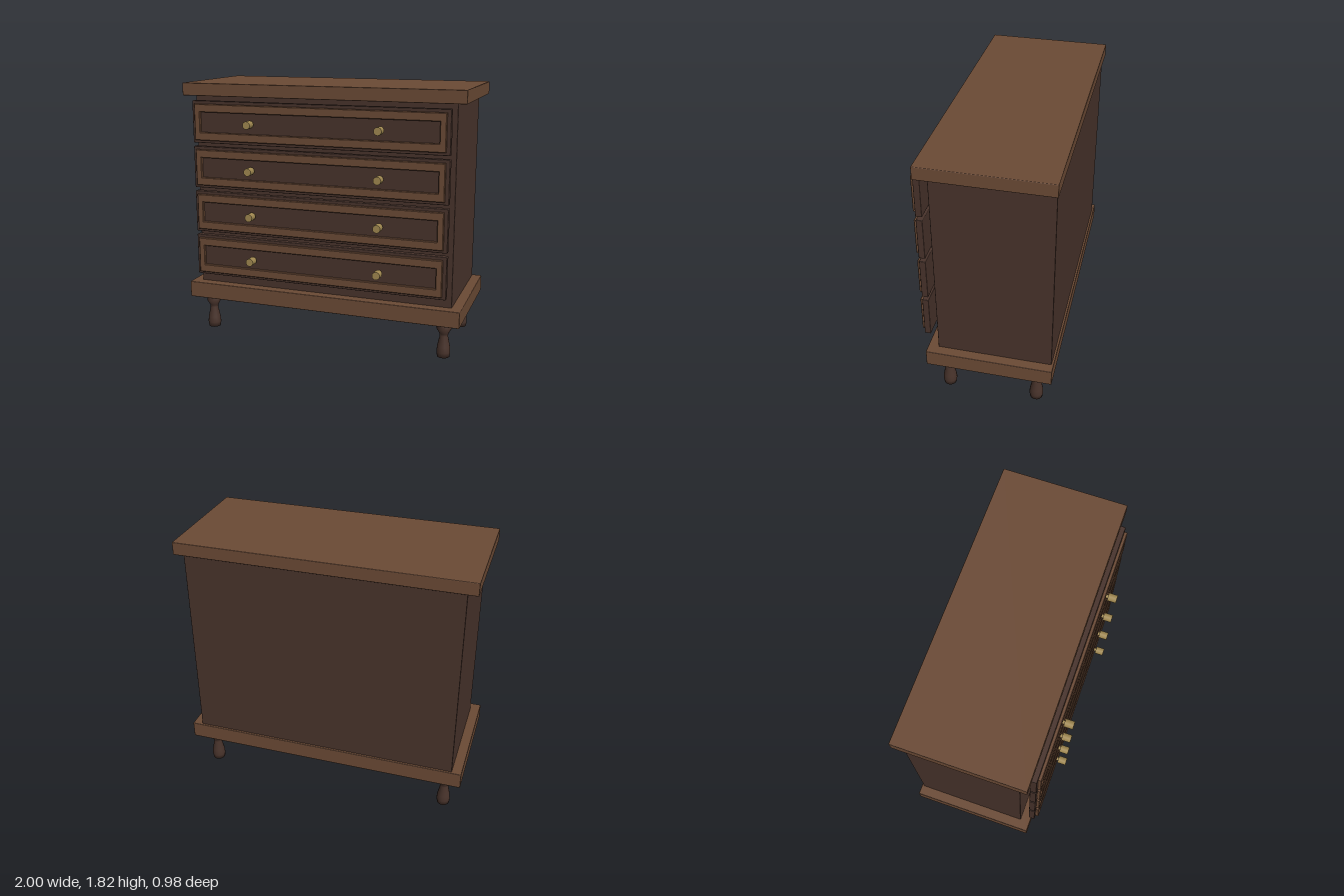
import * as THREE from 'three';
import { RoundedBoxGeometry } from 'three/addons/geometries/RoundedBoxGeometry.js';

const lightWood = new THREE.MeshStandardMaterial({ color: 0x6b4a35 });
const darkWood = new THREE.MeshStandardMaterial({ color: 0x48332b });
const brass = new THREE.MeshStandardMaterial({ color: 0xa08850 });

function add(parent, name, geometry, material, x = 0, y = 0, z = 0) {
  const mesh = new THREE.Mesh(geometry, material);
  mesh.name = name;
  mesh.position.set(x, y, z);
  parent.add(mesh);
  return mesh;
}

// Box given by half width and its y and z ranges, with slightly eased edges
function slab(parent, name, material, halfX, y0, y1, z0, z1) {
  const geometry = new RoundedBoxGeometry(2 * halfX, y1 - y0, z1 - z0, 2, 0.005);
  return add(parent, name, geometry, material, 0, (y0 + y1) / 2, (z0 + z1) / 2);
}

function rectangle(path, w, h) {
  path.moveTo(-w, -h);
  path.lineTo(w, -h);
  path.lineTo(w, h);
  path.lineTo(-w, h);
  path.closePath();
  return path;
}

// Raised moulding with an open centre and small chamfers
function frameGeometry() {
  const bevel = 0.004;
  const shape = rectangle(new THREE.Shape(), 0.885 - bevel, 0.126 - bevel);
  shape.holes.push(rectangle(new THREE.Path(), 0.843 + bevel, 0.07 + bevel));
  return new THREE.ExtrudeGeometry(shape, {
    depth: 0.017, bevelEnabled: true, bevelThickness: bevel, bevelSize: bevel, bevelSegments: 1,
  });
}

export function createModel() {
  const model = new THREE.Group();
  model.name = 'chestOfDrawers';

  // Carcass between the top and the plinth
  slab(model, 'top', lightWood, 1, 1.732, 1.82, -0.488, 0.372);
  slab(model, 'body', darkWood, 0.932, 0.365, 1.735, -0.473, 0.302);
  slab(model, 'base', lightWood, 1, 0.255, 0.37, -0.488, 0.372);

  // Four drawer fronts standing proud of the body
  const moulding = frameGeometry();
  const stem = new THREE.CylinderGeometry(0.013, 0.013, 0.04, 16).rotateX(Math.PI / 2);
  const knob = new THREE.CylinderGeometry(0.027, 0.027, 0.06, 16).rotateX(Math.PI / 2);
  for (let i = 0; i < 4; i++) {
    const drawer = new THREE.Group();
    drawer.name = 'drawer' + (i + 1);
    drawer.position.y = 0.6 + i * 0.3185;
    slab(drawer, 'drawerFront', darkWood, 0.91, -0.147, 0.147, 0.358, 0.401);
    add(drawer, 'drawerMoulding', moulding, lightWood, 0, 0, 0.402);
    for (const side of [-1, 1]) {
      add(drawer, 'knobStem', stem, brass, side * 0.458, 0, 0.418);
      add(drawer, 'knob', knob, brass, side * 0.458, 0, 0.463);
    }
    model.add(drawer);
  }

  // Turned legs
  const profile = [
    [0, 0], [0.043, 0], [0.048, 0.035], [0.044, 0.075], [0.028, 0.15],
    [0.032, 0.168], [0.052, 0.205], [0.036, 0.24], [0.036, 0.262],
  ].map(([r, y]) => new THREE.Vector2(r, y));
  const legGeometry = new THREE.LatheGeometry(profile, 16);
  for (const x of [-0.875, 0.875]) {
    for (const z of [0.25, -0.366]) add(model, 'leg', legGeometry, darkWood, x, 0, z);
  }
  return model;
}
